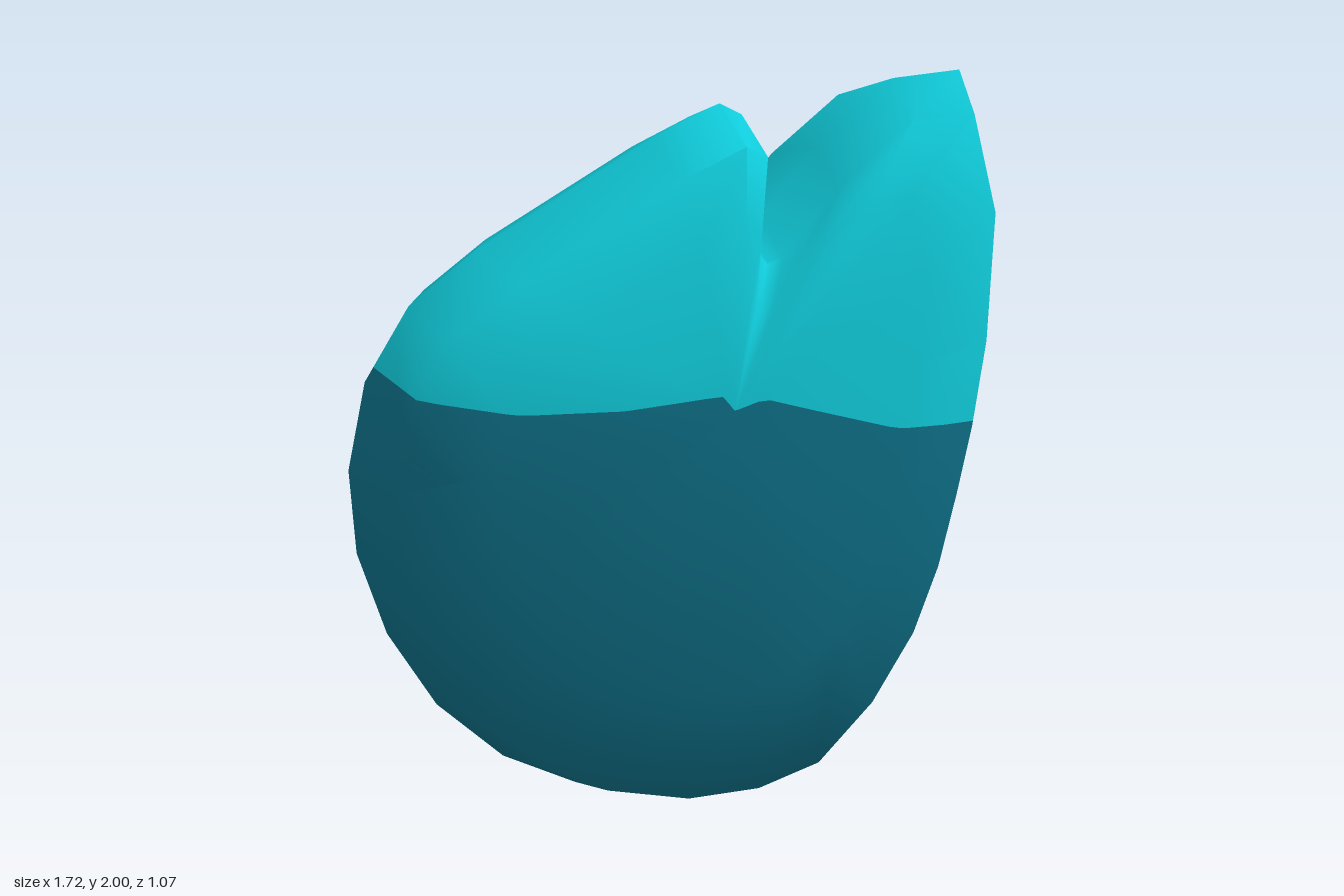
import * as THREE from 'three';
import { toCreasedNormals } from 'three/addons/utils/BufferGeometryUtils.js';

// Mid-plane outline (x, y), clockwise from the lip of the short lobe
const OUTLINE = [
  [0.14, 1.92], [0.20, 1.89], [0.18, 1.61], [0.20, 1.59], [0.25, 1.61], [0.40, 1.80], [0.61, 1.98],
  [0.79, 2.0], [0.86, 1.72], [0.845, 1.35], [0.81, 1.10], [0.77, 0.90], [0.72, 0.68], [0.65, 0.48],
  [0.53, 0.27], [0.37, 0.09], [0.19, 0.02], [-0.02, 0], [-0.26, 0.04], [-0.46, 0.13], [-0.64, 0.29],
  [-0.77, 0.50], [-0.845, 0.73], [-0.86, 0.96], [-0.81, 1.20], [-0.69, 1.40], [-0.50, 1.55], [-0.04, 1.83],
];
// Every section shrinks towards the foot of the cleft: [z, scale]
const CENTRE = [0.07, 1.2];
const SECTIONS = [[0.537, 0], [0.46, 0.64], [0.37, 0.9], [0, 1], [-0.37, 0.9], [-0.46, 0.64], [-0.537, 0]];
// Height of the colour border across the width
const BORDER = [
  [-0.9, 1.24], [-0.79, 1.24], [-0.65, 1.22], [-0.45, 1.2], [-0.2, 1.21], [0, 1.24], [0.045, 1.245],
  [0.07, 1.21], [0.15, 1.235], [0.27, 1.2], [0.5, 1.135], [0.65, 1.125], [0.9, 1.12],
];

function borderHeight(x) {
  let k = 1;
  while (k < BORDER.length - 1 && x > BORDER[k][0]) k++;
  const [x0, y0] = BORDER[k - 1], [x1, y1] = BORDER[k];
  return y0 + (y1 - y0) * (x - x0) / (x1 - x0);
}

// Closed shell lofted through the scaled outlines
function shellGeometry() {
  const n = OUTLINE.length, positions = [], index = [];
  for (const [z, s] of SECTIONS) {
    for (const [px, py] of OUTLINE) {
      const x = CENTRE[0] + (px - CENTRE[0]) * s;
      positions.push(x, CENTRE[1] + (py - CENTRE[1]) * s, z + 0.03 * x);
    }
  }
  for (let j = 0; j < SECTIONS.length - 1; j++) {
    for (let i = 0; i < n; i++) {
      const a = j * n + i, b = j * n + (i + 1) % n, c = a + n, d = b + n;
      if (SECTIONS[j][1] > 0) index.push(a, b, d);
      if (SECTIONS[j + 1][1] > 0) index.push(a, d, c);
    }
  }
  const geometry = new THREE.BufferGeometry();
  geometry.setAttribute('position', new THREE.Float32BufferAttribute(positions, 3));
  geometry.setIndex(index);
  return toCreasedNormals(geometry, 1.1);
}

const mix = (u, v, t) => ({ p: u.p.clone().lerp(v.p, t), n: u.n.clone().lerp(v.n, t).normalize() });
const height = (v) => v.p.y - borderHeight(v.p.x);

// Keep the part of a triangle on one side of the border
function clip(tri, sign, out) {
  const poly = [];
  tri.forEach((u, i) => {
    const v = tri[(i + 1) % 3], hu = height(u) * sign, hv = height(v) * sign;
    if (hu >= 0) poly.push(u);
    if (hu * hv < 0) poly.push(mix(u, v, hu / (hu - hv)));
  });
  for (let i = 1; i < poly.length - 1; i++) out.push(poly[0], poly[i], poly[i + 1]);
}

// Refine triangles near the border, then share them between the two colours
function divide([a, b, c], depth, upper, lower) {
  const ys = [a.p.y, b.p.y, c.p.y];
  if (depth === 0 || Math.min(...ys) > 1.26 || Math.max(...ys) < 1.1) {
    clip([a, b, c], 1, upper);
    clip([a, b, c], -1, lower);
    return;
  }
  const ab = mix(a, b, 0.5), bc = mix(b, c, 0.5), ca = mix(c, a, 0.5);
  for (const t of [[a, ab, ca], [ab, b, bc], [ca, bc, c], [ab, bc, ca]]) divide(t, depth - 1, upper, lower);
}

function partMesh(name, vertices, material) {
  const geometry = new THREE.BufferGeometry();
  const flat = (key) => new THREE.Float32BufferAttribute(vertices.flatMap((v) => v[key].toArray()), 3);
  geometry.setAttribute('position', flat('p'));
  geometry.setAttribute('normal', flat('n'));
  const mesh = new THREE.Mesh(geometry, material);
  mesh.name = name;
  return mesh;
}

export function createModel() {
  const brightTeal = new THREE.MeshStandardMaterial({ name: 'bright teal', color: 0x10cddc });
  const deepTeal = new THREE.MeshStandardMaterial({ name: 'deep teal', color: 0x0e7088 });

  const shell = shellGeometry();
  const { position, normal } = shell.attributes;
  const corner = (i) => ({
    p: new THREE.Vector3().fromBufferAttribute(position, i),
    n: new THREE.Vector3().fromBufferAttribute(normal, i),
  });
  const upper = [], lower = [];
  for (let i = 0; i < position.count; i += 3) divide([corner(i), corner(i + 1), corner(i + 2)], 4, upper, lower);

  const group = new THREE.Group();
  group.name = 'cleftClaw';
  group.add(partMesh('upperLobes', upper, brightTeal), partMesh('lowerBody', lower, deepTeal));
  return group;
}
